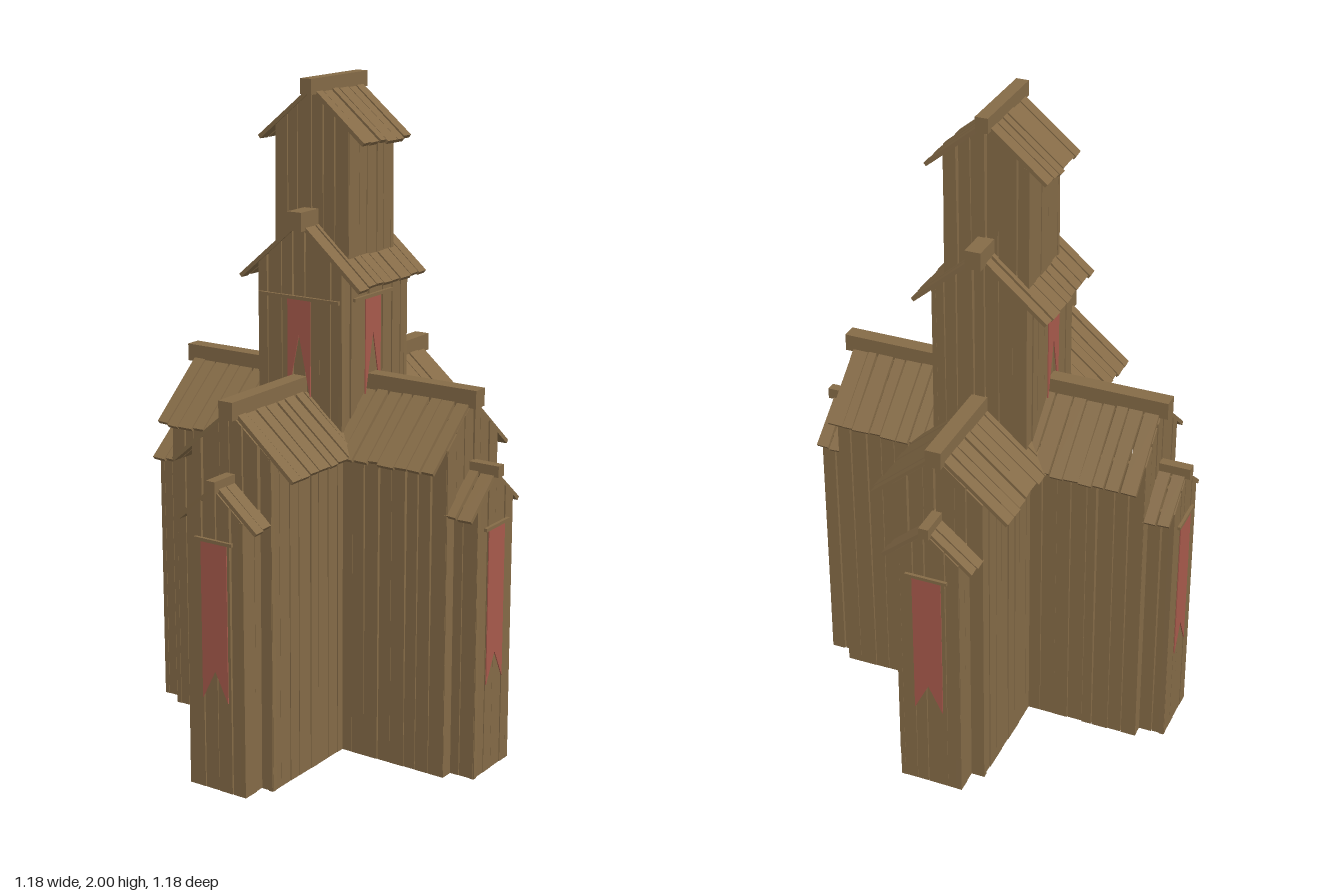
import * as THREE from 'three';
import { mergeGeometries } from 'three/addons/utils/BufferGeometryUtils.js';

const wood = new THREE.MeshStandardMaterial({ color: 0x856b47, flatShading: true });
const cloth = new THREE.MeshStandardMaterial({ color: 0xa85a4c, side: THREE.DoubleSide });

// Seeded random for the uneven planks
let seed = 7;
const rand = () => {
  seed = (seed * 16807) % 2147483647;
  return seed / 2147483647;
};
const vary = (a) => (rand() * 2 - 1) * a;

function polygon(points, depth, matrix) {
  const shape = new THREE.Shape(points.map(([x, y]) => new THREE.Vector2(x, y)));
  const g = new THREE.ExtrudeGeometry(shape, { depth, bevelEnabled: false });
  return matrix ? g.applyMatrix4(matrix) : g;
}

function box(w, h, d, x, y, z) {
  return new THREE.BoxGeometry(w, h, d).translate(x, y, z);
}

function addMesh(parent, name, geometries, material = wood) {
  const mesh = new THREE.Mesh(mergeGeometries(geometries.map((g) => g.toNonIndexed ? (g.index ? g.toNonIndexed() : g) : g)), material);
  mesh.name = name;
  parent.add(mesh);
  return mesh;
}

// Uneven division of a length into plank edges
function edges(from, to, size) {
  const n = Math.max(2, Math.round((to - from) / size));
  const step = (to - from) / n;
  return Array.from({ length: n + 1 }, (_, i) => from + i * step + (i > 0 && i < n ? vary(step * 0.18) : 0));
}

// Upright planks of one wall, facing +z before turning; top is a height rule
function wall(width, y0, top, angle, x, z) {
  const matrix = new THREE.Matrix4().makeRotationY(angle).setPosition(x, 0, z);
  const e = edges(-width / 2, width / 2, 0.045);
  return e.slice(1).map((b, i) => {
    const a = e[i];
    const [b0, b1, t0, t1] = [a + rand() * 0.002, b - rand() * 0.002, a + rand() * 0.005, b - rand() * 0.005];
    const pts = [[b0, y0], [b1, y0], [t1, top(t1)]];
    if (t0 < -0.001 && t1 > 0.001) pts.push([0, top(0)]);
    pts.push([t0, top(t0)]);
    const depth = 0.012 + rand() * 0.004;
    return polygon(pts, depth, matrix.clone().multiply(new THREE.Matrix4().makeTranslation(0, 0, -0.016)));
  });
}

// Sloping boards on both sides of a ridge running along z
function roof({ z0, z1, ridge, eaveX, eaveY }) {
  const drop = ridge - eaveY;
  const length = Math.hypot(eaveX, drop);
  const c = eaveX / length, n = drop / length, t = 0.012;
  const out = [];
  for (const s of [1, -1]) {
    const matrix = new THREE.Matrix4().makeBasis(
      new THREE.Vector3(0, 0, s), new THREE.Vector3(s * c, -n, 0), new THREE.Vector3(s * n, c, 0));
    matrix.setPosition(0, ridge, 0);
    const e = s > 0 ? edges(z0, z1, 0.045) : edges(-z1, -z0, 0.045);
    for (let i = 1; i < e.length; i++) {
      const end = length + vary(0.005);
      const a = e[i - 1], b = e[i];
      const m = matrix.clone().multiply(new THREE.Matrix4().makeTranslation(0, 0, -t + vary(0.002)));
      out.push(polygon([
        [a + rand() * 0.006, 0], [b - rand() * 0.006, 0],
        [b - rand() * 0.004, end], [a + rand() * 0.004, end + vary(0.002)],
      ], t, m));
    }
  }
  return out;
}

// A plank house with its ridge along z
function house(name, o) {
  const group = new THREE.Group();
  group.name = name;
  const { half, w0, w1, y0, ridge, eaveX, eaveY, beam } = o;
  const slope = (ridge - eaveY) / eaveX;
  const gable = (u) => ridge - 0.014 - slope * Math.abs(u);
  const side = () => gable(half) + 0.003;
  const mid = (w0 + w1) / 2;
  const planks = [
    ...wall(half * 2, y0, gable, 0, 0, w1),
    ...wall(w1 - w0, y0, side, Math.PI / 2, half, mid),
    ...wall(w1 - w0, y0, side, -Math.PI / 2, -half, mid),
  ];
  if (o.backGable) planks.push(...wall(half * 2, y0, gable, Math.PI, 0, w0));
  addMesh(group, 'wallPlanks', planks);
  addMesh(group, 'roofBoards', roof(o));
  addMesh(group, 'ridgeBeam', [
    box(beam.w, beam.top - beam.bottom, beam.z1 - beam.z0, 0, (beam.top + beam.bottom) / 2, (beam.z0 + beam.z1) / 2)]);

  // Inner corner posts and sills
  const h = half - 0.028;
  const frame = [];
  for (const s of [1, -1]) {
    for (const z of [w0 + 0.028, w1 - 0.028]) frame.push(box(0.025, side() - y0 - 0.03, 0.025, s * h, (y0 + side()) / 2 - 0.01, z));
    frame.push(box(0.018, 0.02, w1 - w0 - 0.04, s * h, y0 + 0.03, mid));
  }
  for (const z of [w0 + 0.028, w1 - 0.028]) frame.push(box(h * 2, 0.02, 0.018, 0, y0 + 0.03, z));
  addMesh(group, 'innerFrame', frame);
  return group;
}

// Hanging swallowtail banner on a rod, facing +z
function banner(half, top, bottom, notch, rod) {
  const group = new THREE.Group();
  group.name = 'banner';
  addMesh(group, 'bannerCloth', [polygon([[-half, bottom], [0, notch], [half, bottom], [half, top], [-half, top]], 0.003)], cloth);
  addMesh(group, 'bannerRod', [box(rod * 2, 0.01, 0.01, 0, top + 0.003, 0.002)]);
  return group;
}

export function createModel() {
  const model = new THREE.Group();
  model.name = 'woodenChurch';

  // Four wings, each with a low porch and a banner
  ['front', 'left', 'back', 'right'].forEach((label, i) => {
    const wing = new THREE.Group();
    wing.name = label + 'Wing';
    wing.add(house('wingHall', {
      half: 0.14, w0: 0.125, w1: 0.495, y0: 0, z0: 0.13, z1: 0.492,
      ridge: 1.125, eaveX: 0.213, eaveY: 0.945,
      beam: { w: 0.048, bottom: 1.095, top: 1.148, z0: 0.1, z1: 0.515 },
    }));
    wing.add(house('porch', {
      half: 0.1, w0: 0.48, w1: 0.575, y0: 0, z0: 0.485, z1: 0.573,
      ridge: 0.922, eaveX: 0.14, eaveY: 0.805,
      beam: { w: 0.03, bottom: 0.902, top: 0.936, z0: 0.48, z1: 0.588 },
    }));
    const flag = banner(0.045, 0.755, 0.28, 0.37, 0.065);
    flag.position.z = 0.576;
    wing.add(flag);
    wing.rotation.y = i * Math.PI / 2;
    model.add(wing);
  });

  // Central tower and the smaller belfry on top
  model.add(house('tower', {
    half: 0.148, w0: -0.193, w1: 0.157, y0: 0.93, z0: -0.197, z1: 0.162,
    ridge: 1.605, eaveX: 0.21, eaveY: 1.425, backGable: true,
    beam: { w: 0.048, bottom: 1.575, top: 1.63, z0: -0.232, z1: 0.182 },
  }));
  model.add(house('belfry', {
    half: 0.13, w0: -0.14, w1: 0.097, y0: 1.45, z0: -0.147, z1: 0.102,
    ridge: 1.978, eaveX: 0.186, eaveY: 1.825, backGable: true,
    beam: { w: 0.038, bottom: 1.955, top: 2.0, z0: -0.166, z1: 0.122 },
  }));

  // Tower banners on the front and both sides
  for (const [angle, x, z, rod] of [[0, 0, 0.158, 0.14], [Math.PI / 2, 0.149, 0, 0.1], [-Math.PI / 2, -0.149, 0, 0.1]]) {
    const flag = banner(0.04, 1.375, 1.08, 1.27, rod);
    flag.position.set(x, 0, z);
    flag.rotation.y = angle;
    model.add(flag);
  }
  return model;
}
